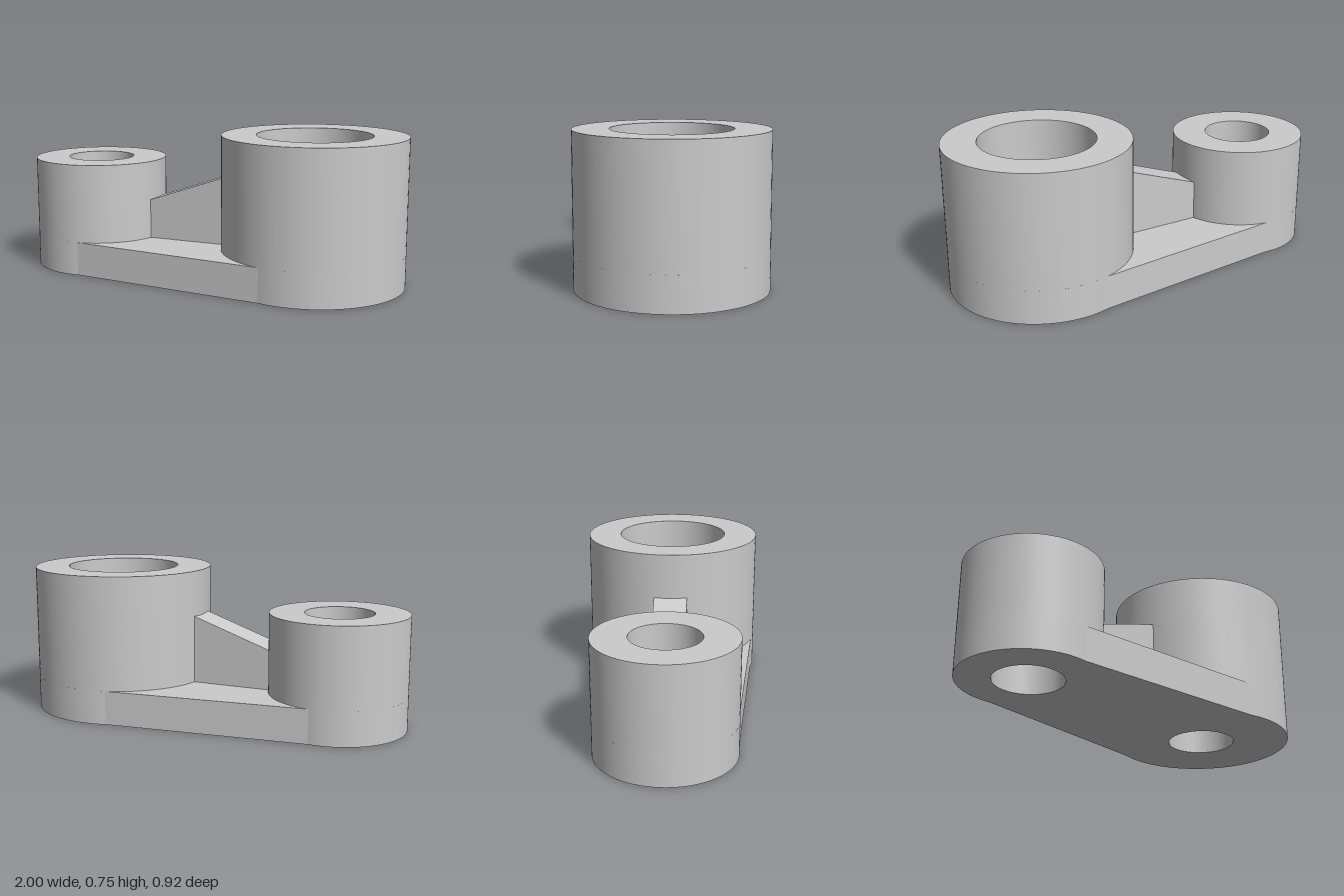
import * as THREE from 'three';
import { toCreasedNormals } from 'three/addons/utils/BufferGeometryUtils.js';

const material = new THREE.MeshStandardMaterial({ color: 0xcccccc });
const BASE = 0.172; // plate thickness
const BORE = 0.172; // through-hole radius
const small = { x: -0.655, r: 0.345, top: 0.575, bore: BORE };
const large = { x: 0.54, r: 0.46, top: 0.747, bore: 0.287 };

function addHole(shape, x, r) {
  shape.holes.push(new THREE.Path().absarc(x, 0, r, 0, Math.PI * 2, true));
}

// Extrude a plan outline upward between two heights
function slab(name, shape, y0, y1) {
  const geo = new THREE.ExtrudeGeometry(shape, { depth: y1 - y0, bevelEnabled: false, curveSegments: 48 });
  geo.rotateX(-Math.PI / 2).translate(0, y0, 0);
  const mesh = new THREE.Mesh(toCreasedNormals(geo, 0.15), material);
  mesh.name = name;
  return mesh;
}

function boss(name, { x, r, top, bore }) {
  const ring = new THREE.Shape().absarc(x, 0, r, 0, Math.PI * 2, false);
  addHole(ring, x, bore);
  return slab(name, ring, BASE, top);
}

export function createModel() {
  const group = new THREE.Group();
  group.name = 'linkArm';

  // Tapered plate: two end arcs joined by straight flanks set just inside the tangents
  const tangent = Math.acos((small.r - large.r) / (large.x - small.x));
  const a = tangent + 0.18, b = tangent - 0.21;
  const outline = new THREE.Shape();
  outline.absarc(large.x, 0, large.r, -a, a, false);
  outline.absarc(small.x, 0, small.r, b, Math.PI * 2 - b, false);
  outline.closePath();
  addHole(outline, small.x, BORE);
  addHole(outline, large.x, BORE);
  group.add(slab('basePlate', outline, 0, BASE));

  // Bosses; the wide bore of the large one ends on the plate as a counterbore
  group.add(boss('smallBoss', small), boss('largeBoss', large));

  // Sloping rib between the bosses, its ends buried in their walls
  const side = new THREE.Shape([
    new THREE.Vector2(-0.36, BASE),
    new THREE.Vector2(0.13, BASE),
    new THREE.Vector2(0.13, 0.531),
    new THREE.Vector2(-0.36, 0.361),
  ]);
  const ribGeo = new THREE.ExtrudeGeometry(side, { depth: 0.172, bevelEnabled: false });
  ribGeo.translate(0, 0, -0.086);
  const rib = new THREE.Mesh(ribGeo, material);
  rib.name = 'rib';
  group.add(rib);

  return group;
}
